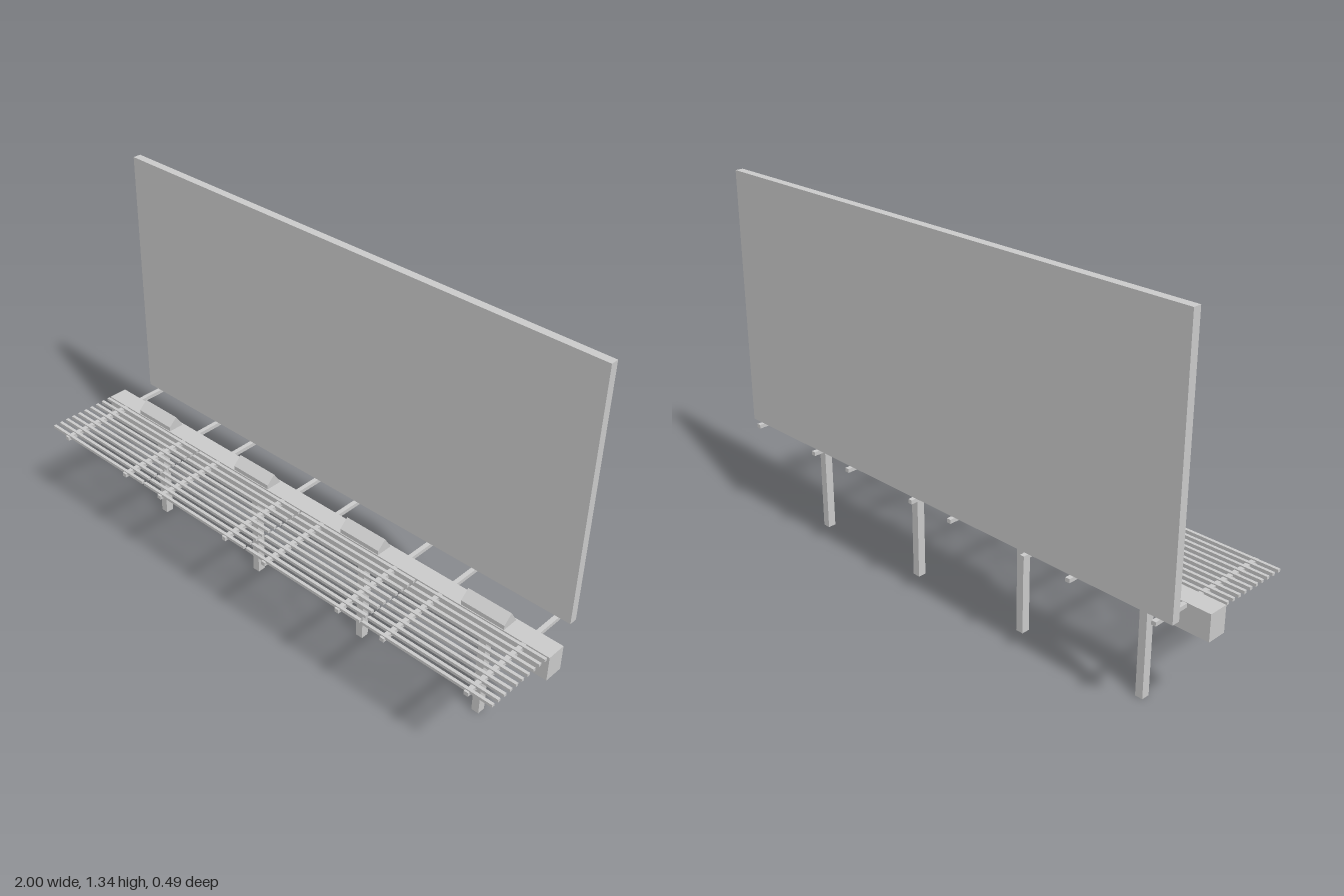
import * as THREE from 'three';

export function createModel() {
  const model = new THREE.Group();
  model.name = 'billboard';
  const material = new THREE.MeshStandardMaterial({ color: 0xcccccc, flatShading: true });

  const add = (name, geometry, x, y, z) => {
    const mesh = new THREE.Mesh(geometry, material);
    mesh.name = name;
    mesh.position.set(x, y, z);
    model.add(mesh);
  };
  // Box given by its centre x, width and its y and z extents
  const box = (name, x, width, y0, y1, z0, z1) =>
    add(name, new THREE.BoxGeometry(width, y1 - y0, z1 - z0), x, (y0 + y1) / 2, (z0 + z1) / 2);

  // Display panel and main beam
  box('displayPanel', 0, 1.92, 0.417, 1.335, -0.225, -0.196);
  box('mainBeam', 0, 2, 0.325, 0.417, -0.104, -0.034);

  // Lamp housing profile: x is forward, y is up
  const profile = new THREE.Shape([
    [-0.03, 0], [0.032, 0], [0.032, 0.017], [0, 0.047], 
  ].map(([x, y]) => new THREE.Vector2(x, y)));
  const lampWidth = 0.164;
  const lamp = new THREE.ExtrudeGeometry(profile, { depth: lampWidth, bevelEnabled: false });
  lamp.translate(0, 0, -lampWidth / 2).rotateY(-Math.PI / 2);

  // Four repeating bays
  for (const x of [-0.75, -0.25, 0.25, 0.75]) {
    box('post', x, 0.028, 0, 0.325, -0.083, -0.053);
    add('lampHousing', lamp, x, 0.416, -0.069);

    // Cross arms carrying the walkway and panel
    for (const side of [-1, 1])
      box('crossArm', x + side * 0.159, 0.016, 0.402, 0.416, -0.243, 0.243);

    // Walkway slats
    for (let i = 0; i < 10; i++) {
      const z = -0.021 + i * 0.0279;
      box('walkwaySlat', x, 0.492, 0.41, 0.42, z - 0.0055, z + 0.0055);
    }
  }
  return model;
}
